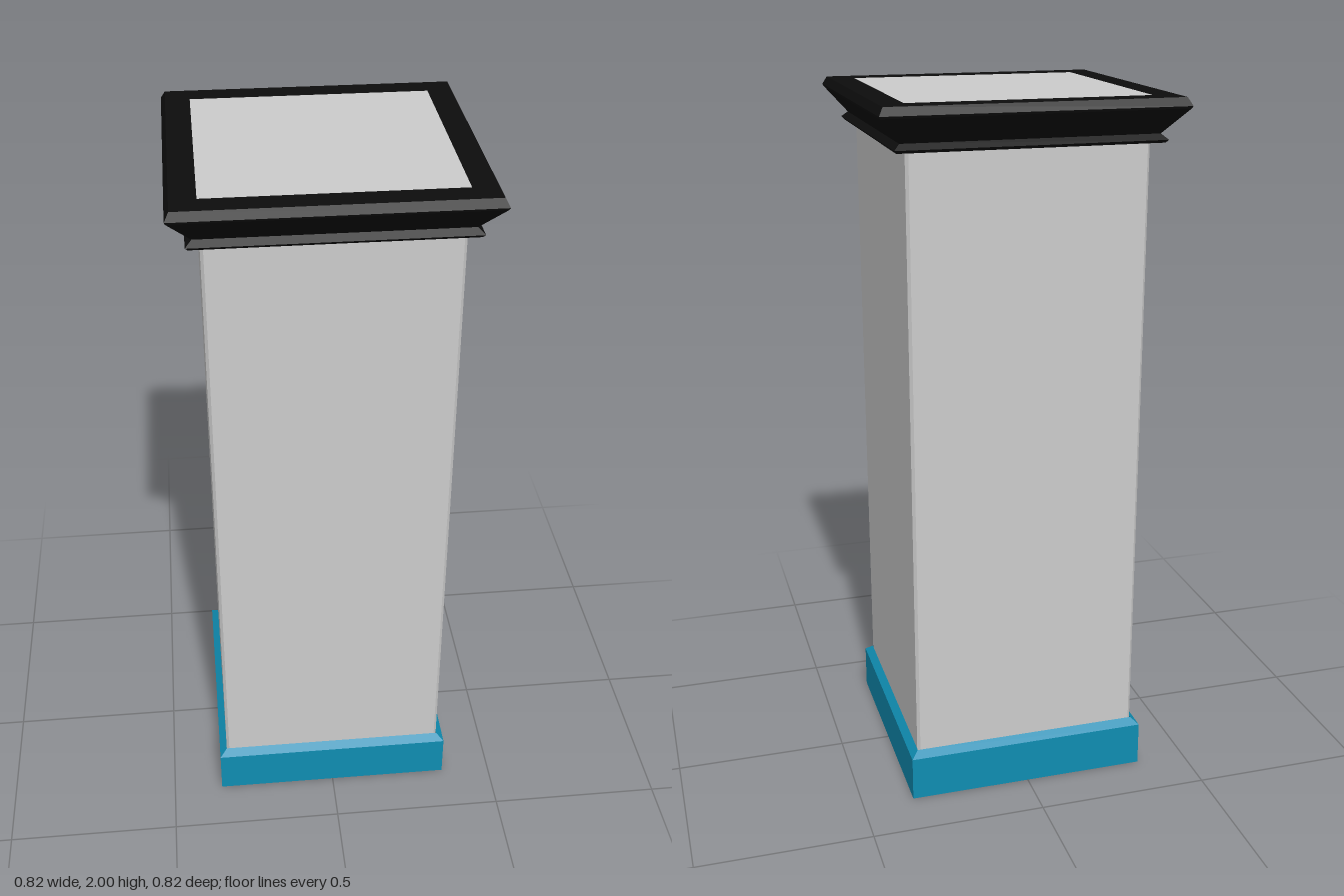
import * as THREE from 'three';

const SHAFT = 0.331;  // half width of the column shaft
const BASE = 0.352;   // half width of the base band

// Square moulding: sweeps a [halfWidth, y] profile round four mitred corners
function squareMoulding(name, profile, color) {
  const points = profile.map(([half, y]) => new THREE.Vector2(half * Math.SQRT2, y));
  const geometry = new THREE.LatheGeometry(points, 4, Math.PI / 4).toNonIndexed();
  geometry.computeVertexNormals();
  const mesh = new THREE.Mesh(geometry, new THREE.MeshStandardMaterial({ color, side: THREE.DoubleSide }));
  mesh.name = name;
  return mesh;
}

// Flat square panel facing up (1) or down (-1)
function panel(name, half, y, facing) {
  const geometry = new THREE.PlaneGeometry(half * 2, half * 2).rotateX(-facing * Math.PI / 2);
  const mesh = new THREE.Mesh(geometry, new THREE.MeshStandardMaterial({ color: 0xcccccc }));
  mesh.position.y = y;
  mesh.name = name;
  return mesh;
}

// Upright shaft with narrow chamfers on its four vertical edges
function columnShaft(bottom, top) {
  const h = SHAFT, c = SHAFT - 0.008;
  const corners = [[h, -c], [h, c], [c, h], [-c, h], [-h, c], [-h, -c], [-c, -h], [c, -h]];
  const shape = new THREE.Shape(corners.map(([x, y]) => new THREE.Vector2(x, y)));
  const geometry = new THREE.ExtrudeGeometry(shape, { depth: top - bottom, bevelEnabled: false });
  geometry.rotateX(-Math.PI / 2).translate(0, bottom, 0);
  const mesh = new THREE.Mesh(geometry, new THREE.MeshStandardMaterial({ color: 0xcccccc }));
  mesh.name = 'shaft';
  return mesh;
}

export function createModel() {
  const group = new THREE.Group();
  group.name = 'squareColumn';

  group.add(columnShaft(0.01, 1.99));

  // Base band with a chamfered top edge, and its underside
  group.add(squareMoulding('baseBand', [
    [BASE, 0], [BASE, 0.13], [SHAFT, 0.148],
  ], 0x0f8db2));
  group.add(panel('baseUnderside', BASE, 0, -1));

  // Flared crown: small lip, groove, slope, rounded rim, flat top border
  group.add(squareMoulding('crown', [
    [SHAFT, 1.88], [0.36, 1.88], [0.367, 1.888], [0.35, 1.903],
    [0.409, 1.972], [0.412, 1.978], [0.4, 2], [SHAFT + 0.001, 2],
  ], 0x0d0d0d));
  group.add(panel('topPanel', SHAFT + 0.002, 1.9995, 1));

  return group;
}
